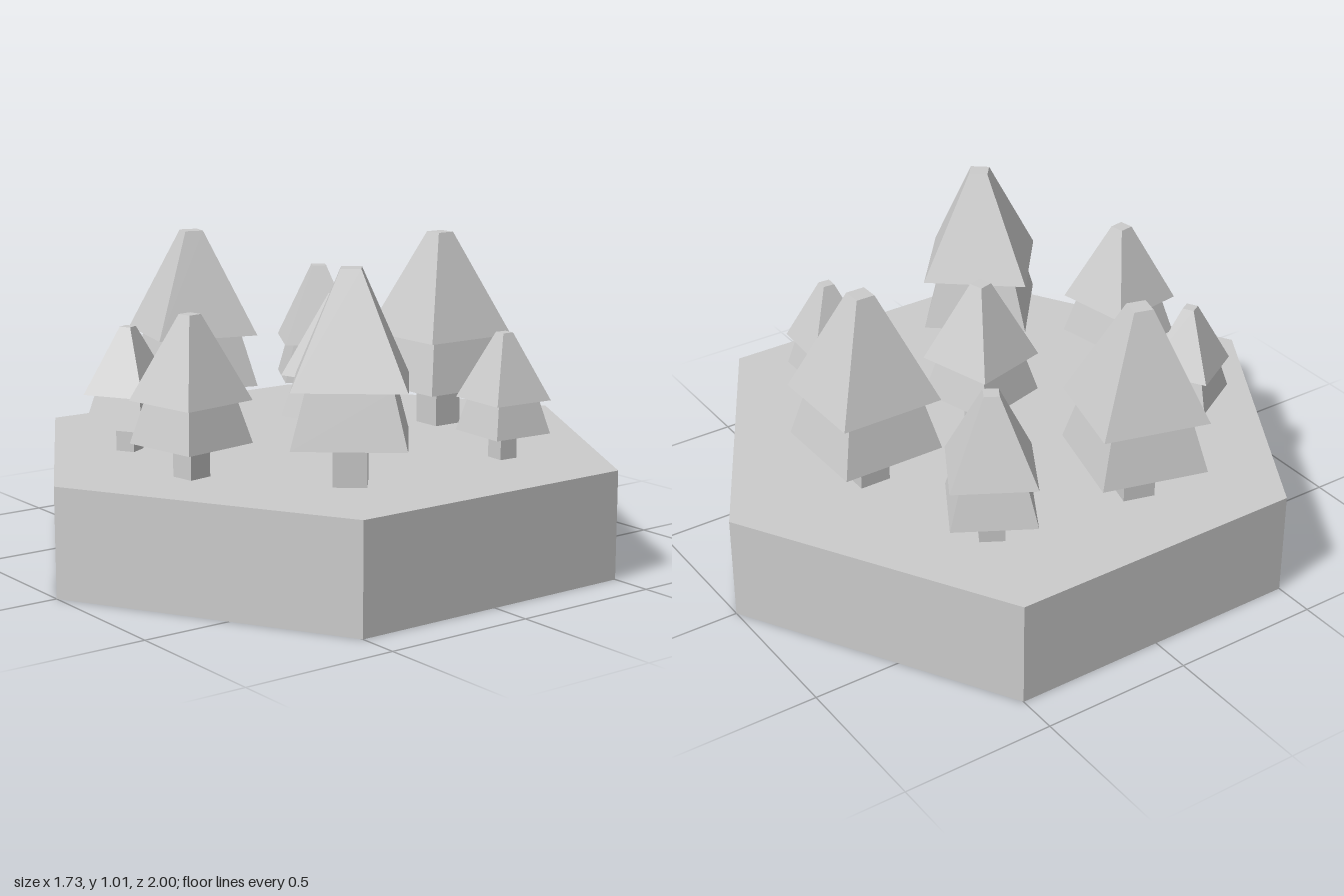
import * as THREE from 'three';

const material = new THREE.MeshStandardMaterial({ color: 0xcccccc, flatShading: true });
const GROUND = 0.35;

// Square frustum given by half-widths at top and bottom, between two heights
function frustum(name, halfTop, halfBottom, y0, y1) {
  const geometry = new THREE.CylinderGeometry(halfTop * Math.SQRT2, halfBottom * Math.SQRT2, y1 - y0, 4);
  geometry.rotateY(Math.PI / 4);
  geometry.translate(0, (y0 + y1) / 2, 0);
  const mesh = new THREE.Mesh(geometry, material);
  mesh.name = name;
  return mesh;
}

// Full-size tree standing on y = 0: trunk and two tiers of foliage
function createTree() {
  const tree = new THREE.Group();
  tree.add(
    frustum('trunk', 0.052, 0.052, 0, 0.136),
    frustum('lowerFoliage', 0.13, 0.173, 0.136, 0.31),
    frustum('upperFoliage', 0.031, 0.173, 0.31, 0.656)
  );
  return tree;
}

export function createModel() {
  const model = new THREE.Group();
  model.name = 'forestTile';

  // Hexagonal ground slab with corners on the z axis
  const base = new THREE.Mesh(new THREE.CylinderGeometry(1, 1, GROUND, 6), material);
  base.name = 'hexagonBase';
  base.position.y = GROUND / 2;
  model.add(base);

  // Trees: x, z, turn in degrees, scale
  const trees = [
    [-0.02, -0.517, 0, 1],
    [-0.557, 0.131, -15, 1],
    [0.505, 0.267, -39.5, 1],
    [-0.508, -0.372, -30, 0.766],
    [0.069, -0.021, 15, 0.766],
    [0.14, 0.598, 9.5, 0.766],
    [0.513, -0.336, -3.5, 0.614],
    [-0.292, 0.552, 30, 0.614],
  ];
  trees.forEach(([x, z, turn, scale], i) => {
    const tree = createTree();
    tree.name = `tree${i + 1}`;
    tree.position.set(x, GROUND, z);
    tree.rotation.y = THREE.MathUtils.degToRad(turn);
    tree.scale.setScalar(scale);
    model.add(tree);
  });
  return model;
}
